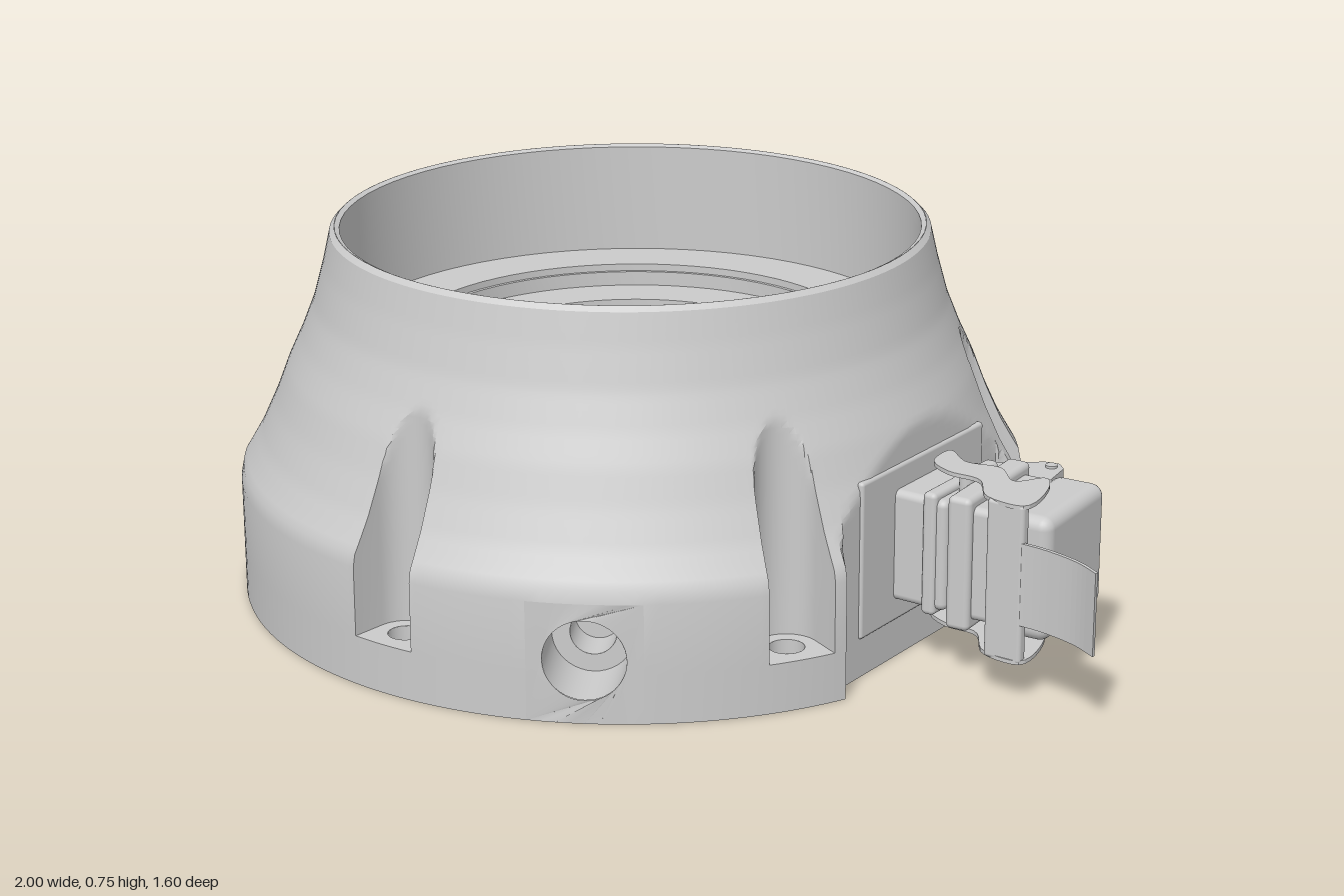
import * as THREE from 'three';
import { toCreasedNormals } from 'three/addons/utils/BufferGeometryUtils.js';
import { RoundedBoxGeometry } from 'three/addons/geometries/RoundedBoxGeometry.js';

const mat = new THREE.MeshStandardMaterial({ color: 0xcccccc, side: THREE.DoubleSide });
const D = Math.PI / 180;
const V2 = (x, y) => new THREE.Vector2(x, y);

function add(parent, name, geo, x = 0, y = 0, z = 0) {
  const m = new THREE.Mesh(geo, mat);
  m.name = name;
  m.position.set(x, y, z);
  parent.add(m);
  return m;
}

// Housing rules: outer profile, bolt slots and the flat for the connector
const BOLT_R = 0.73, SLOT_W = 0.0625, LEDGE = 0.1;
const SLOT_A = Math.asin(SLOT_W / BOLT_R) / D;
const boltAngles = [30, 90, 150, 210, 270, 330];
const profile = [[0, 0.8], [0.24, 0.8], [0.265, 0.795], [0.29, 0.78], [0.33, 0.757], [0.4, 0.725], [0.47, 0.698],
  [0.53, 0.67], [0.6, 0.642], [0.68, 0.62], [0.745, 0.605], [0.755, 0.595]];

function profileR(y) {
  const i = Math.max(1, profile.findIndex(p => p[0] >= y - 1e-6));
  const [y0, r0] = profile[i - 1], [y1, r1] = profile[i];
  return r0 + (r1 - r0) * (y - y0) / (y1 - y0);
}
function flatR(deg) {
  const c = Math.cos(deg * D), s = Math.abs(Math.sin(deg * D));
  if (c <= s + 0.05) return 9;
  return Math.max(0.7 / c, 0.42 / (c - s));
}
function slotR(off) {
  const s = BOLT_R * Math.sin(off * D);
  return BOLT_R * Math.cos(off * D) - Math.sqrt(Math.max(0, SLOT_W ** 2 - s * s));
}
const baseR = deg => Math.min(0.8, flatR(deg));
const polar = (r, deg) => V2(r * Math.cos(deg * D), r * Math.sin(deg * D));

// Columns around the housing; slot columns carry their own inner radius
function makeColumns() {
  const cols = [];
  const inSlot = a => boltAngles.some(b => Math.abs(a - b) < SLOT_A + 0.1);
  for (let a = 0; a < 360; a += 2) if (!inSlot(a)) cols.push({ a, lim: 9, k: 0 });
  for (const a of [21.8, 23.25, 336.75, 338.2]) cols.push({ a, lim: 9, k: 0 });
  for (const b of boltAngles) {
    cols.push({ a: b - SLOT_A, lim: 9, k: -1 }, { a: b + SLOT_A, lim: 9, k: 1 });
    for (let i = 0; i <= 12; i++) {
      const off = SLOT_A * Math.sin((i / 6 - 1) * Math.PI / 2);
      cols.push({ a: b + off, lim: slotR(off), k: 0 });
    }
  }
  cols.sort((p, q) => Math.abs(p.a - q.a) > 1e-6 ? p.a - q.a : p.k - q.k);
  return cols;
}

const PORT = 60, PORT_HALF = 8, PORT_TOP = 0.24;

function wallGeometry() {
  const cols = makeColumns(), pos = [];
  const upper = [LEDGE, 0.24, 0.265];
  for (let y = 0.28; y < 0.74; y += 0.0125) upper.push(y);
  upper.push(0.745, 0.755);
  const point = (c, y, slots) => {
    const r = Math.min(profileR(y), flatR(c.a), slots ? c.lim : 9);
    const p = polar(r, c.a);
    return [p.x, y, p.y];
  };
  const band = (rows, slots) => {
    for (let j = 0; j + 1 < rows.length; j++) for (let i = 0; i < cols.length; i++) {
      const c = cols[i], d = cols[(i + 1) % cols.length];
      if (rows[j + 1] <= PORT_TOP && c.a >= PORT - PORT_HALF && d.a <= PORT + PORT_HALF && d.a > c.a) continue;
      const p = point(c, rows[j], slots), q = point(d, rows[j], slots);
      const s = point(d, rows[j + 1], slots), t = point(c, rows[j + 1], slots);
      pos.push(...p, ...t, ...q, ...q, ...t, ...s);
    }
  };
  band([0, LEDGE], false);
  band(upper, true);
  const g = new THREE.BufferGeometry();
  g.setAttribute('position', new THREE.Float32BufferAttribute(pos, 3));
  return toCreasedNormals(g, 0.5);
}

function circlePath(x, y, r) {
  return new THREE.Path().absarc(x, y, r, 0, Math.PI * 2);
}
const flatShape = (shape) => new THREE.ShapeGeometry(shape, 24).rotateX(Math.PI / 2);

function holedShape(points, radius, holeR) {
  const s = new THREE.Shape(points);
  for (const b of boltAngles) {
    const p = polar(radius, b);
    s.holes.push(circlePath(p.x, p.y, holeR));
  }
  return s;
}

// Plan outline extruded upward from y0
function plate(outline, y0, h) {
  const g = new THREE.ExtrudeGeometry(new THREE.Shape(outline), { depth: h, bevelEnabled: false });
  return g.rotateX(Math.PI / 2).translate(0, y0 + h, 0);
}

function buildHousing() {
  const g = new THREE.Group();
  g.name = 'housing';
  g.position.x = -0.2;
  add(g, 'outerWall', wallGeometry());

  // Rim and stepped interior
  const inside = [[0.595, 0.755], [0.585, 0.75], [0.585, 0.52], [0.465, 0.52], [0.465, 0.505], [0.457, 0.505],
    [0.457, 0.475], [0.352, 0.475], [0.352, 0.46], [0.345, 0.46], [0.345, 0.39], [0, 0.39]];
  const lathe = new THREE.LatheGeometry(inside.map(p => V2(...p)), 72);
  add(g, 'steppedInterior', toCreasedNormals(lathe, 0.5));

  // Underside ring, groove and bottom cover
  const rim = makeColumns().filter(c => c.lim === 9).map(c => polar(baseR(c.a), c.a));
  const ring = holedShape(rim, BOLT_R, 0.035);
  ring.holes.push(circlePath(0, 0, 0.672));
  add(g, 'undersideRing', flatShape(ring));
  const groove = [[0.672, 0], [0.672, 0.02], [0.657, 0.02], [0.657, 0]].map(p => V2(...p));
  add(g, 'coverGroove', toCreasedNormals(new THREE.LatheGeometry(groove, 72), 0.5));
  const disc = new THREE.Path().absarc(0, 0, 0.657, 0, Math.PI * 2).getPoints(72);
  add(g, 'bottomCover', flatShape(holedShape(disc, 0.632, 0.022)));

  for (const b of boltAngles) {
    const p = polar(BOLT_R, b), q = polar(0.632, b);
    add(g, 'boltHole', new THREE.CylinderGeometry(0.035, 0.035, LEDGE, 24, 1, true), p.x, LEDGE / 2, p.y);
    add(g, 'coverScrewHole', new THREE.CylinderGeometry(0.022, 0.022, 0.03, 20, 1, true), q.x, 0.015, q.y);
    add(g, 'coverScrew', new THREE.CircleGeometry(0.022, 20).rotateX(Math.PI / 2), q.x, 0.03, q.y);
    // Ledge at the foot of each slot
    const inner = [], outer = [];
    for (let i = 0; i <= 12; i++) {
      const off = SLOT_A * Math.sin((i / 6 - 1) * Math.PI / 2);
      inner.push(polar(slotR(off), b + off));
      outer.unshift(polar(baseR(b + off), b + off));
    }
    const s = new THREE.Shape([...inner, ...outer]);
    s.holes.push(circlePath(p.x, p.y, 0.035));
    add(g, 'boltLedge', flatShape(s).scale(1, -1, 1), 0, LEDGE, 0);
  }

  // Wall patch around the side port, bent onto the cylinder
  const pts = [];
  for (let a = -PORT_HALF; a <= PORT_HALF; a += 2) pts.push(V2(a * D * 0.8, 0));
  for (let a = PORT_HALF; a >= -PORT_HALF; a -= 2) pts.push(V2(a * D * 0.8, PORT_TOP));
  const ps = new THREE.Shape(pts);
  ps.holes.push(circlePath(0, 0.127, 0.08));
  const patch = new THREE.ShapeGeometry(ps, 24);
  const v = patch.attributes.position;
  for (let i = 0; i < v.count; i++) {
    const p = polar(0.8, PORT - v.getX(i) / 0.8 / D);
    v.setXYZ(i, p.x, v.getY(i), p.y);
  }
  add(g, 'portWall', toCreasedNormals(patch, 0.5));
  const port = new THREE.Group();
  port.name = 'sidePort';
  port.rotation.y = -PORT * D;
  port.position.y = 0.127;
  g.add(port);
  add(port, 'portBore', new THREE.CylinderGeometry(0.08, 0.08, 0.138, 40, 1, true).rotateZ(Math.PI / 2), 0.729);
  add(port, 'portStep', new THREE.RingGeometry(0.045, 0.08, 40).rotateY(Math.PI / 2), 0.66);
  add(port, 'portInnerBore', new THREE.CylinderGeometry(0.045, 0.045, 0.08, 32, 1, true).rotateZ(Math.PI / 2), 0.62);
  add(port, 'portEnd', new THREE.CircleGeometry(0.045, 32).rotateY(Math.PI / 2), 0.58);
  return g;
}

function buildConnector() {
  const g = new THREE.Group();
  g.name = 'connector';
  // Box given by its limits
  const box = (name, x0, x1, y0, y1, z0, z1, r, parent = g) => add(parent, name,
    new RoundedBoxGeometry(x1 - x0, y1 - y0, z1 - z0, 3, r), (x0 + x1) / 2, (y0 + y1) / 2, (z0 + z1) / 2);
  box('mountingFlange', 0.49, 0.506, 0.08, 0.4, -0.22, 0.22, 0.007);
  box('socketBase', 0.49, 0.62, 0.125, 0.352, -0.12, 0.105, 0.015);
  box('socketLip', 0.57, 0.6, 0.115, 0.365, -0.126, 0.112, 0.01);

  // Plug hood, slightly skewed on the socket
  const hood = new THREE.Group();
  hood.name = 'plugHood';
  hood.position.set(0.73, 0, -0.005);
  hood.rotation.y = 0.07;
  g.add(hood);
  box('hoodCollar', -0.105, -0.055, 0.105, 0.375, -0.135, 0.125, 0.012, hood);
  box('hoodBody', -0.07, 0.02, 0.125, 0.355, -0.12, 0.11, 0.015, hood);
  box('hoodHead', 0, 0.11, 0.115, 0.365, -0.127, 0.122, 0.025, hood);

  // Hinge arms with pin
  const arm = [V2(0.505, -0.1), V2(0.515, -0.15), V2(0.635, -0.245), V2(0.665, -0.25), V2(0.685, -0.23), V2(0.705, -0.1)];
  for (const y of [0.145, 0.295]) add(g, 'hingeArm', plate(arm, y, 0.04));
  add(g, 'hingePin', new THREE.CylinderGeometry(0.012, 0.012, 0.2, 16), 0.66, 0.24, -0.225);

  // Locking lever: two curved cheeks, bridge and finger tab
  const curve = new THREE.CatmullRomCurve3([[0.54, -0.04], [0.545, 0.03], [0.6, 0.065], [0.67, 0.07], [0.73, 0.14], [0.815, 0.145],
    [0.8, 0.03], [0.77, -0.01], [0.73, 0.04], [0.67, -0.01], [0.6, 0]].map(p => new THREE.Vector3(p[0], p[1], 0)), true);
  const cheek = curve.getPoints(60).slice(0, -1).map(p => V2(p.x, p.y));
  for (const y of [0.08, 0.392]) add(g, 'leverCheek', plate(cheek, y, 0.008));
  add(g, 'leverPivot', new THREE.CylinderGeometry(0.015, 0.015, 0.3, 16), 0.62, 0.24, 0.03);
  box('leverBridge', 0.735, 0.815, 0.08, 0.4, 0.125, 0.15, 0.008);
  const tab = new THREE.SplineCurve([V2(0.78, 0.14), V2(0.86, 0.143), V2(0.94, 0.162), V2(0.998, 0.192)]).getPoints(16);
  const back = tab.map(p => V2(p.x, p.y + 0.008)).reverse();
  add(g, 'leverTab', plate([...tab, ...back], 0.16, 0.165));
  return g;
}

export function createModel() {
  const model = new THREE.Group();
  model.name = 'ringHousingWithConnector';
  model.add(buildHousing(), buildConnector());
  return model;
}
